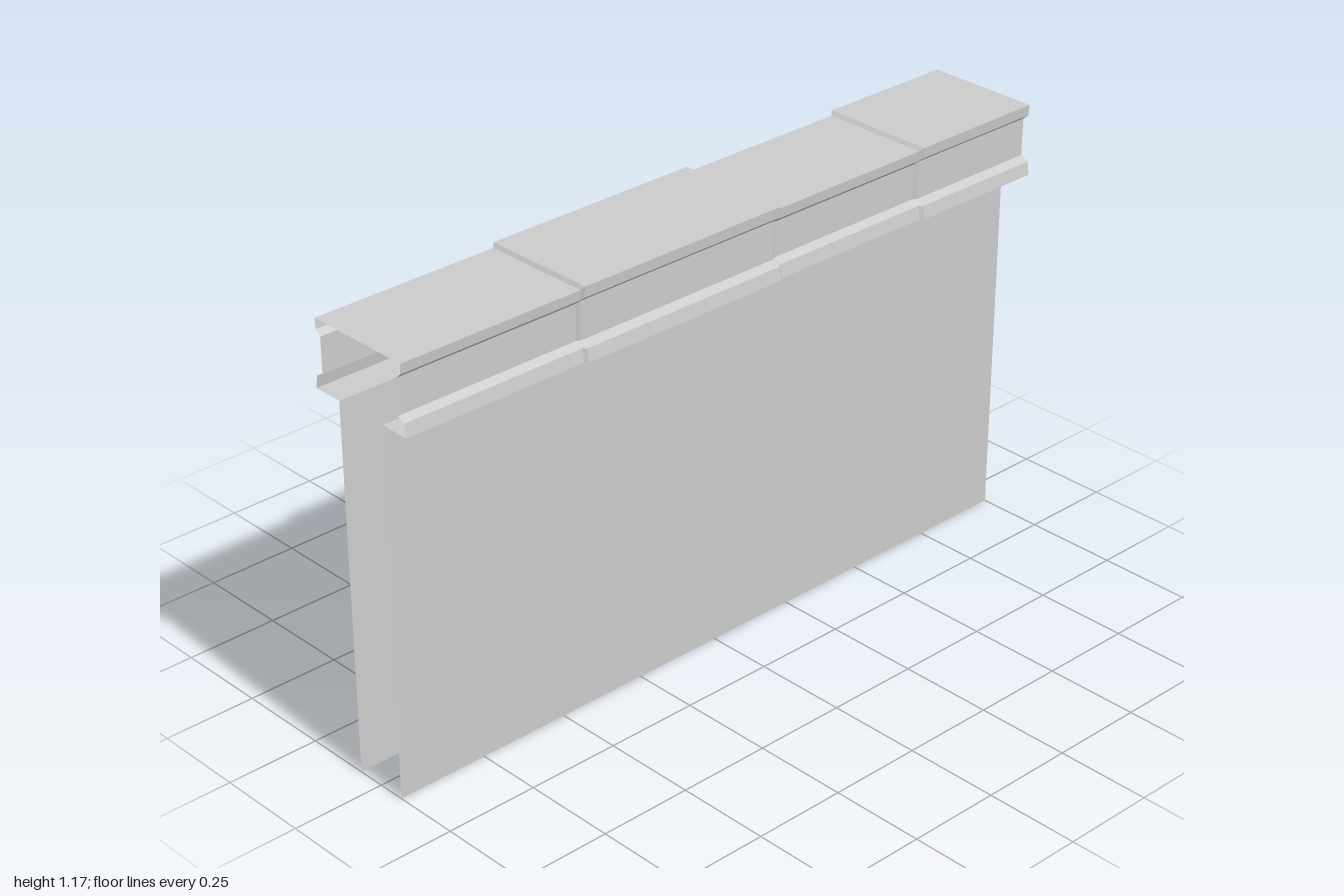
import * as THREE from 'three';

const material = new THREE.MeshStandardMaterial({ color: 0xcccccc, flatShading: true, side: THREE.DoubleSide });

// Stations along the wall: [x, step], step 0 = low block, 1 = raised block
const stations = [
  [-1, 0], [-0.488, 0], [-0.48, 1], [0.125, 1], [0.135, 0],
  [0.608, 0], [0.618, 1], [1, 1],
];

// Cross-section points: [z, y, outward growth, upward growth] on raised blocks
const lipTop = [0.149, 1.163, 0.008, 0.009];
const lipBottom = [0.146, 1.136, 0.008, 0.007];
const neckTop = [0.132, 1.123, 0.007, 0.007];
const neckBottom = [0.132, 1.03, 0.006, 0];
const baseTop = [0.152, 1.019, 0.008, 0];
const baseBottom = [0.158, 0.985, 0.008, 0];
const wallTop = [0.076, 0.985, 0, 0];
const wallBottom = [0.074, 0, 0, 0];

const mirror = ([z, y, gz, gy]) => [-z, y, -gz, gy];

// Sweeps an open cross-section along the stations
function sweep(name, profile, path = stations) {
  const positions = [], index = [], n = profile.length;
  path.forEach(([x, step], i) => {
    profile.forEach(([z, y, gz, gy], j) => {
      positions.push(x, y + gy * step, z + gz * step);
      if (i && j) {
        const d = i * n + j, c = d - 1, b = d - n, a = b - 1;
        index.push(a, b, c, b, d, c);
      }
    });
  });
  let geometry = new THREE.BufferGeometry();
  geometry.setAttribute('position', new THREE.Float32BufferAttribute(positions, 3));
  geometry.setIndex(index);
  geometry = geometry.toNonIndexed();
  geometry.computeVertexNormals();
  const mesh = new THREE.Mesh(geometry, material);
  mesh.name = name;
  return mesh;
}

export function createModel() {
  const group = new THREE.Group();
  group.name = 'wallWithCoping';

  // Stepped top slab with its overhanging lips, open underneath
  const slab = [neckTop, lipBottom, lipTop];
  group.add(sweep('copingSlab', [...slab.map(mirror), ...slab.reverse()]));

  // Neck, base moulding with underside, and wall sheet on each side
  const ends = [[-1, 0], [1, 0]];
  for (const [side, back] of [['front', false], ['back', true]]) {
    const section = (points) => (back ? points.map(mirror).reverse() : points);
    group.add(
      sweep(side + 'Neck', section([neckTop, neckBottom])),
      sweep(side + 'BaseMoulding', section([neckBottom, baseTop, baseBottom, wallTop])),
      sweep(side + 'Wall', section([wallTop, wallBottom]), ends),
    );
  }
  return group;
}
